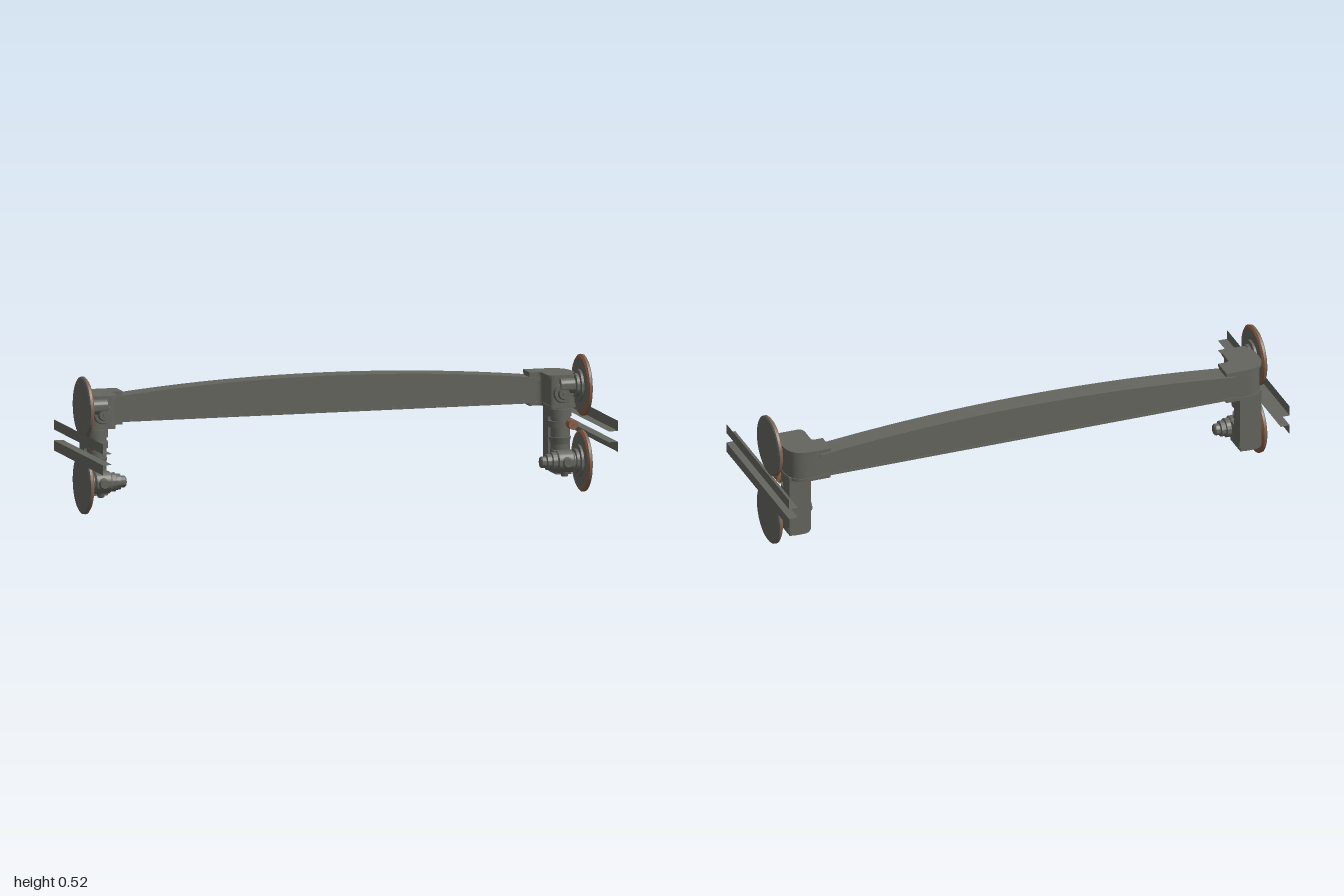
import * as THREE from 'three';
import { toCreasedNormals } from 'three/addons/utils/BufferGeometryUtils.js';

const gray = new THREE.MeshStandardMaterial({ color: 0x65655f, side: THREE.DoubleSide });
gray.name = 'dark steel';
const copper = new THREE.MeshStandardMaterial({ color: 0x8c5e44, side: THREE.DoubleSide });
copper.name = 'copper brown';

const WHEEL_Z = -0.042;

function add(parent, name, geometry, material = gray, x = 0, y = 0, z = 0) {
  const mesh = new THREE.Mesh(geometry, material);
  mesh.name = name;
  mesh.position.set(x, y, z);
  parent.add(mesh);
  return mesh;
}

// Turned part along x; profile entries are [radius, distance from centre plane]
function turnedX(profile, s, segments = 48) {
  const g = new THREE.LatheGeometry(profile.map(([r, h]) => new THREE.Vector2(r, h)), segments);
  g.rotateZ(-s * Math.PI / 2);
  return toCreasedNormals(g, 0.5);
}

// Plan outline (x, -z) raised vertically
function raise(shape, height) {
  const g = new THREE.ExtrudeGeometry(shape, { depth: height, bevelEnabled: false, curveSegments: 10 });
  g.rotateX(-Math.PI / 2);
  return toCreasedNormals(g, 0.5);
}

// Curved upper edge of the beam
const topAt = (x) => 0.467 - 0.045 * (x / 0.83) ** 2;

// Band between two height functions, swept along z
function beamSlice(low, high, z0, z1) {
  const n = 32, w = 0.83, shape = new THREE.Shape();
  for (let i = 0; i <= n; i++) {
    const x = -w + 2 * w * i / n;
    if (i === 0) shape.moveTo(x, low(x)); else shape.lineTo(x, low(x));
  }
  for (let i = n; i >= 0; i--) {
    const x = -w + 2 * w * i / n;
    shape.lineTo(x, high(x));
  }
  const g = new THREE.ExtrudeGeometry(shape, { depth: z1 - z0, bevelEnabled: false });
  g.translate(0, 0, z0);
  return toCreasedNormals(g, 0.5);
}

// Elbow outline that turns from the beam towards the front
function elbowShape(s, o) {
  const p = new THREE.Shape();
  p.moveTo(s * 0.79, 0.205 + o);
  p.lineTo(s * 0.87, 0.205 + o);
  p.quadraticCurveTo(s * (0.945 + o), 0.205 + o, s * (0.945 + o), 0.13);
  p.lineTo(s * (0.945 + o), 0.065);
  p.quadraticCurveTo(s * (0.94 + o), 0.04 - o, s * 0.915, 0.04 - o);
  p.lineTo(s * 0.86, 0.04 - o);
  p.quadraticCurveTo(s * (0.842 - o), 0.04 - o, s * (0.842 - o), 0.06);
  p.lineTo(s * (0.842 - o), 0.115);
  p.quadraticCurveTo(s * (0.842 - o), 0.135 - o, s * 0.82, 0.135 - o);
  p.lineTo(s * 0.79, 0.135 - o);
  p.closePath();
  return p;
}

// Upright plate with rounded lower corners
function columnGeometry(s, low, depth) {
  const p = new THREE.Shape();
  const a = s * 0.857, b = s * 0.943, r = 0.025;
  p.moveTo(a, 0.33);
  p.lineTo(a, low + r);
  p.quadraticCurveTo(a, low, a + s * r, low);
  p.lineTo(b - s * r, low);
  p.quadraticCurveTo(b, low, b, low + r);
  p.lineTo(b, 0.33);
  p.closePath();
  return toCreasedNormals(new THREE.ExtrudeGeometry(p, { depth, bevelEnabled: false, curveSegments: 8 }), 0.5);
}

function wheel(parent, name, s, y) {
  const g = new THREE.Group();
  g.name = name;
  g.position.set(0, y, WHEEL_Z);
  add(g, 'wheelDisc', turnedX([[0, 0.959], [0.104, 0.959], [0.112, 0.966], [0.115, 0.968],
    [0.115, 0.973], [0.109, 0.977], [0, 0.977]], s, 64));
  add(g, 'wheelTread', turnedX([[0.102, 0.9575], [0.107, 0.9575], [0.1155, 0.964], [0.1155, 0.968]], s, 64), copper);
  add(g, 'wheelHub', turnedX([[0, 0.88], [0.03, 0.88], [0.03, 0.935], [0.045, 0.937], [0.045, 0.948],
    [0.06, 0.95], [0.06, 0.96]], s, 40));
  parent.add(g);
}

// Angle rail: flat running leg plus upright outer leg
function rail(parent, name, s, flatY, legY) {
  const flat = new THREE.PlaneGeometry(0.036, 0.64);
  flat.rotateX(-Math.PI / 2);
  add(parent, name + 'Flange', flat, gray, s * 0.982, flatY, 0);
  const leg = new THREE.PlaneGeometry(0.64, 0.038);
  leg.rotateY(s * Math.PI / 2);
  add(parent, name + 'Web', leg, gray, s, legY, 0);
}

function carriage(s, name) {
  const g = new THREE.Group();
  g.name = name;
  const box = (n, w, h, d, x, y, z, m) => add(g, n, new THREE.BoxGeometry(w, h, d), m, s * x, y, z);
  const post = (n, r1, r2, h, x, y, z, m) => add(g, n, new THREE.CylinderGeometry(r1, r2, h, 32), m, s * x, y, z);
  const rod = (n, r1, r2, len, x, y, z, m) => {
    const c = new THREE.CylinderGeometry(r1, r2, len, 28);
    c.rotateX(Math.PI / 2);
    return add(g, n, c, m, s * x, y, z);
  };

  // Elbow with cover and lower rim
  add(g, 'elbow', raise(elbowShape(s, 0), 0.11), gray, 0, 0.322, 0);
  add(g, 'elbowCover', raise(elbowShape(s, 0.008), 0.012), gray, 0, 0.432, 0);
  add(g, 'elbowRim', raise(elbowShape(s, 0.003), 0.012), gray, 0, 0.318, 0);

  // Round boss on the elbow front
  rod('frontBoss', 0.034, 0.038, 0.012, 0.893, 0.375, -0.034);
  rod('frontBossCap', 0.02, 0.024, 0.014, 0.893, 0.375, -0.022);
  rod('frontBossPin', 0.008, 0.008, 0.012, 0.893, 0.375, -0.012);

  // Hanging column
  add(g, 'column', columnGeometry(s, 0.105, 0.06), gray, 0, 0, -0.175);
  add(g, 'columnBackPlate', columnGeometry(s, 0.083, 0.005), gray, 0, 0, -0.179);

  // Swivel post in front of the column
  post('swivelPost', 0.034, 0.034, 0.19, 0.9, 0.225, -0.105);
  post('swivelCollarTop', 0.044, 0.044, 0.03, 0.9, 0.295, -0.105);
  post('swivelCollar', 0.046, 0.046, 0.024, 0.9, 0.252, -0.108);
  post('swivelCollarLow', 0.042, 0.036, 0.025, 0.9, 0.19, -0.105);

  // Small motor between the rails
  rod('motor', 0.018, 0.018, 0.042, 0.925, 0.258, -0.031, copper);
  rod('motorNeck', 0.009, 0.009, 0.035, 0.925, 0.256, -0.068);
  rod('motorPin', 0.003, 0.003, 0.006, 0.925, 0.258, -0.008);

  // Lower axle housing and drive
  box('axleArm', 0.07, 0.075, 0.09, 0.9, 0.118, -0.105);
  box('axleBase', 0.06, 0.025, 0.1, 0.9, 0.08, -0.1);
  add(g, 'axleDrive', turnedX([[0, 0.805], [0.018, 0.805], [0.022, 0.81], [0.022, 0.825], [0.03, 0.828],
    [0.03, 0.845], [0.036, 0.848], [0.036, 0.865], [0.042, 0.87], [0.042, 0.925], [0.034, 0.932],
    [0.034, 0.957]], s, 36), gray, 0, 0.118, WHEEL_Z);
  post('axleFoot', 0.018, 0.012, 0.02, 0.9, 0.072, WHEEL_Z);
  rod('axleFrontCap', 0.016, 0.022, 0.018, 0.9, 0.118, 0.002);

  wheel(g, 'upperWheel', s, 0.403);
  wheel(g, 'lowerWheel', s, 0.118);
  rail(g, 'upperRail', s, 0.281, 0.3);
  rail(g, 'lowerRail', s, 0.24, 0.221);
  return g;
}

export function createModel() {
  const model = new THREE.Group();
  model.name = 'gantryBeam';

  // Arched cross beam with overhanging cover and bottom plate
  add(model, 'beamBody', beamSlice(() => 0.33, (x) => topAt(x) - 0.008, -0.205, -0.135));
  add(model, 'beamCover', beamSlice((x) => topAt(x) - 0.01, topAt, -0.213, -0.13));
  add(model, 'beamBottomPlate', beamSlice(() => 0.327, () => 0.334, -0.208, -0.132));

  model.add(carriage(1, 'leftCarriage'), carriage(-1, 'rightCarriage'));
  return model;
}
